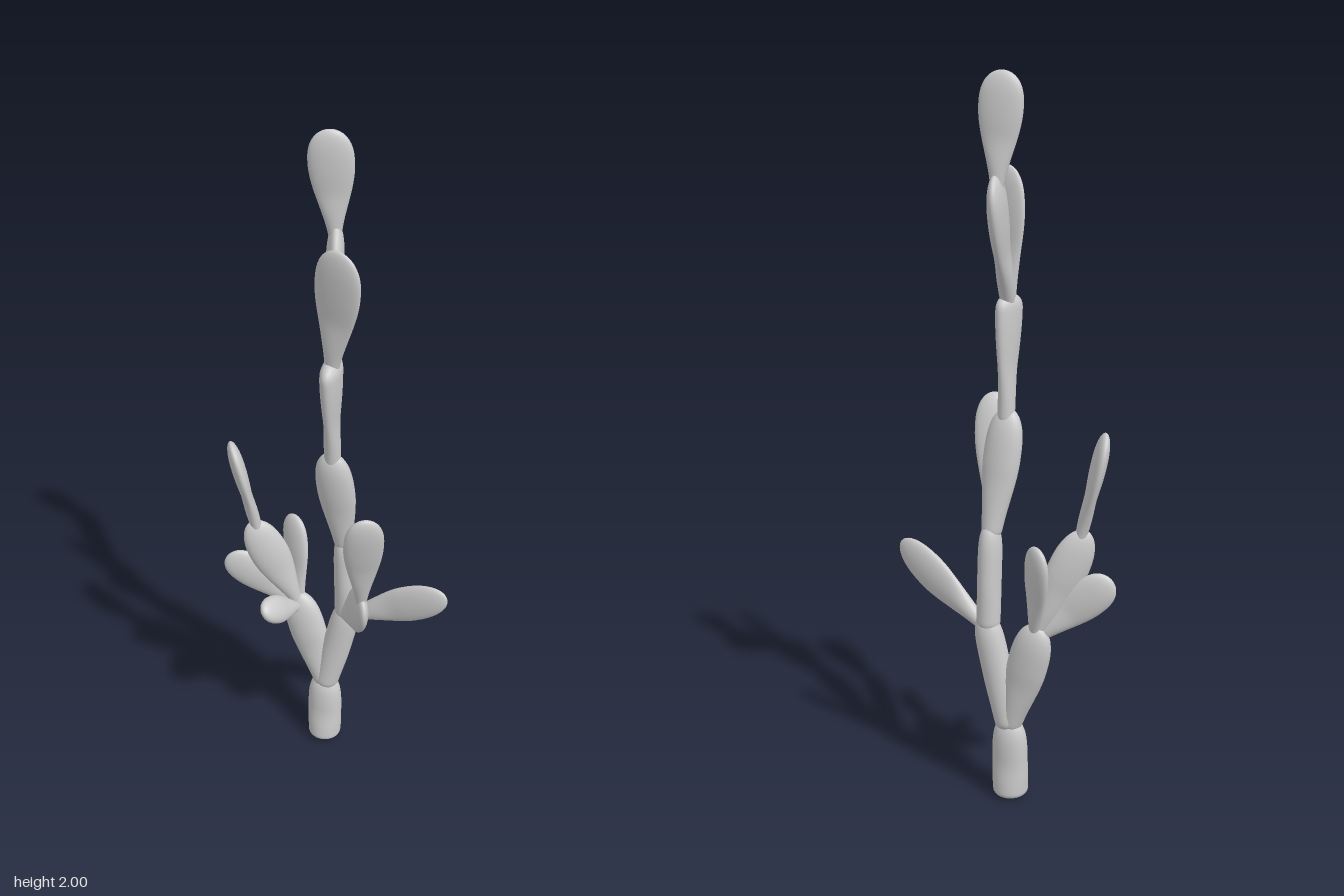
import * as THREE from 'three';
import { mergeVertices } from 'three/addons/utils/BufferGeometryUtils.js';

// Outline rules: neck width, height of the widest point, bluntness of the tip
const PAD = { neck: 0.26, peak: 0.72, blunt: 2.6 };
const LEAF = { neck: 0.3, peak: 0.64, blunt: 2.4 };
const STEM = { neck: 0.85, peak: 0.5, blunt: 5 };
const SPINDLE = { neck: 0.52, peak: 0.62, blunt: 3 };
const WEDGE = { neck: 0.4, peak: 0.88, blunt: 2.5 };
const TRUNK = { neck: 0.95, peak: 0.3, blunt: 5 };

const material = new THREE.MeshStandardMaterial({ color: 0xcccccc });
const { smoothstep, lerp, degToRad } = THREE.MathUtils;

// Half-width at height t: swells from the neck, then rounds off to the tip
function outlineRadius({ neck, peak, blunt }, t) {
  const swell = lerp(neck, 1, smoothstep(t, 0, peak));
  const u = Math.max(0, (t - peak) / (1 - peak));
  const foot = (1 - Math.max(0, 1 - t / 0.1) ** 3) ** 0.5;
  return swell * foot * Math.sqrt(Math.max(0, 1 - u ** blunt));
}

// Unit-height joint: round at its neck, thinning to a paddle above it
function jointGeometry(outline, halfWidth, halfThick) {
  const steps = 40;
  const points = Array.from({ length: steps + 1 }, (_, i) => {
    const t = (1 - Math.cos(Math.PI * i / steps)) / 2;
    return new THREE.Vector2(halfWidth * outlineRadius(outline, t), t);
  });
  const geometry = new THREE.LatheGeometry(points, 28);
  geometry.deleteAttribute('uv');
  geometry.deleteAttribute('normal');
  const pos = geometry.attributes.position;
  for (let i = 0; i < pos.count; i++) {
    const flat = lerp(1, halfThick / halfWidth, smoothstep(pos.getY(i), 0, 0.5));
    pos.setZ(i, pos.getZ(i) * flat);
  }
  return geometry;
}

export function createModel() {
  const cactus = new THREE.Group();
  cactus.name = 'cactus';

  // Grows a joint out of its parent's end; yaw and pitch (degrees) aim its wide side
  function grow(name, parent, outline, tip, halfWidth, halfThick, yaw, pitch = 0) {
    const base = parent.tip.clone().lerp(parent.base, 0.15);
    const end = new THREE.Vector3(...tip);
    const axis = end.clone().sub(base);
    const dir = axis.clone().normalize();
    const wide = new THREE.Vector3(1, 0, 0)
      .applyAxisAngle(new THREE.Vector3(0, 0, 1), degToRad(pitch))
      .applyAxisAngle(new THREE.Vector3(0, 1, 0), degToRad(-yaw));
    wide.addScaledVector(dir, -wide.dot(dir)).normalize();
    const thin = new THREE.Vector3().crossVectors(wide, dir);

    const shaped = jointGeometry(outline, halfWidth, halfThick);
    shaped.applyMatrix4(new THREE.Matrix4().makeBasis(wide, axis, thin).setPosition(base));
    const geometry = mergeVertices(shaped, 1e-5);
    geometry.computeVertexNormals();
    const mesh = new THREE.Mesh(geometry, material);
    mesh.name = name;
    cactus.add(mesh);
    return { base, tip: end };
  }

  // Main stem, from the ground up
  const root = new THREE.Vector3(-0.045, 0, -0.1);
  const trunk = grow('trunk', { base: root, tip: root }, TRUNK, [-0.045, 0.245, -0.107], 0.052, 0.04, 0);
  const lower = grow('lowerStem', trunk, STEM, [0.03, 0.55, -0.112], 0.043, 0.036, 0);
  const middle = grow('middleStem', lower, STEM, [0.016, 0.81, -0.098], 0.039, 0.032, 90);
  const upper = grow('upperStem', middle, SPINDLE, [-0.008, 1.12, -0.04], 0.054, 0.034, 0);
  const top = grow('topStem', upper, WEDGE, [0, 1.425, -0.02], 0.058, 0.027, 90);

  // Crown pads
  grow('crownFrontPad', top, PAD, [0.034, 1.755, 0.018], 0.068, 0.018, 18);
  const crown = grow('crownBackPad', top, PAD, [-0.03, 1.745, -0.158], 0.069, 0.024, 73);
  grow('crownTopPad', crown, PAD, [-0.038, 2, -0.125], 0.058, 0.02, -13);

  // Branch on the right and its cluster of pads
  const branch = grow('rightBranch', trunk, SPINDLE, [-0.138, 0.545, -0.115], 0.058, 0.035, 0);
  const inner = grow('rightUpperPad', branch, LEAF, [-0.25, 0.82, -0.06], 0.056, 0.028, -30);
  grow('rightTopPad', inner, PAD, [-0.297, 1.09, -0.045], 0.056, 0.02, 60);
  grow('rightOuterPad', branch, PAD, [-0.322, 0.69, -0.05], 0.054, 0.019, 0, 90);
  grow('rightBackPad', branch, PAD, [-0.16, 0.79, -0.168], 0.049, 0.02, 30);
  grow('rightFrontPad', branch, LEAF, [-0.18, 0.6, 0.06], 0.042, 0.025, 0, 120);

  // Branch on the left and its pads
  const front = grow('leftFrontBranch', lower, LEAF, [0.14, 0.755, 0.128], 0.064, 0.024, 0, 90);
  grow('leftTopPad', front, PAD, [0.154, 1.09, 0.18], 0.054, 0.022, -24);
  grow('leftOuterPad', lower, LEAF, [0.328, 0.685, -0.06], 0.057, 0.02, 0, 90);

  return cactus;
}
